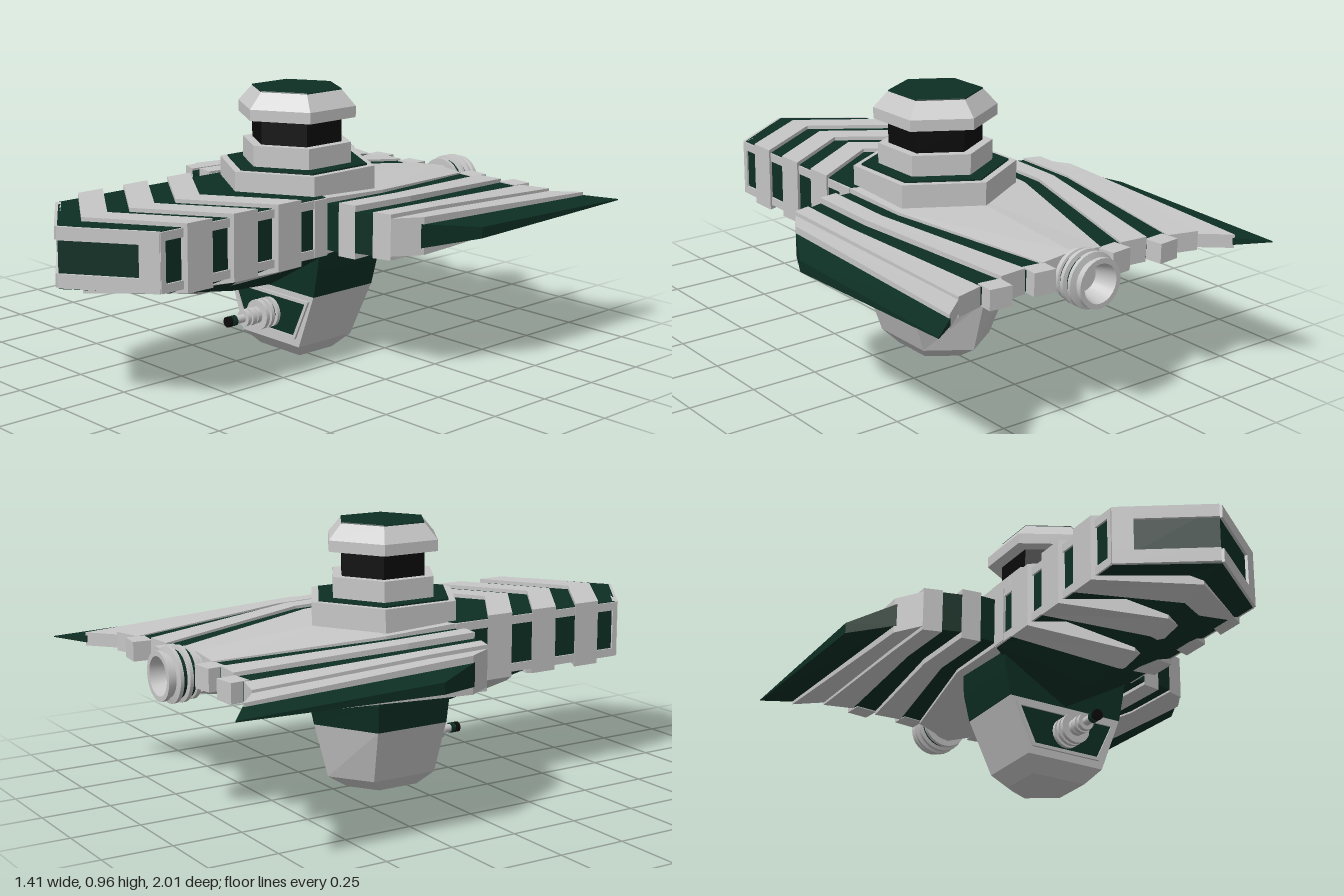
import * as THREE from 'three';
import { toCreasedNormals } from 'three/addons/utils/BufferGeometryUtils.js';

const mat = (name, color) => {
  const m = new THREE.MeshStandardMaterial({ color });
  m.name = name;
  return m;
};

// Closed flat-faced solid through rings of [x, y, z] points
function loft(rings) {
  const tris = [], n = rings[0].length;
  for (let r = 0; r < rings.length - 1; r++) {
    const a = rings[r], b = rings[r + 1];
    for (let i = 0; i < n; i++) {
      const j = (i + 1) % n;
      tris.push([a[i], a[j], b[j]], [a[i], b[j], b[i]]);
    }
  }
  const first = rings[0], last = rings[rings.length - 1];
  for (let i = 1; i < n - 1; i++) {
    tris.push([first[0], first[i + 1], first[i]], [last[0], last[i], last[i + 1]]);
  }
  // Turn the faces outward by the sign of the volume
  const v = (p) => new THREE.Vector3(...p);
  let volume = 0;
  for (const [a, b, c] of tris) volume += v(a).dot(v(b).cross(v(c)));
  if (volume < 0) tris.forEach((t) => t.reverse());
  const g = new THREE.BufferGeometry();
  g.setAttribute('position', new THREE.Float32BufferAttribute(tris.flat(2), 3));
  g.computeVertexNormals();
  return g;
}

export function createModel() {
  const root = new THREE.Group();
  const white = mat('pale grey', 0xc6c6c6);
  const green = mat('dark green', 0x0d2f24);
  const black = mat('black', 0x0b0b0b);

  const add = (name, geo, material, parent = root, x = 0, y = 0, z = 0) => {
    const m = new THREE.Mesh(geo, material);
    m.name = name;
    m.position.set(x, y, z);
    parent.add(m);
    return m;
  };
  const box = (name, w, h, d, material, x, y, z, parent = root) =>
    add(name, new THREE.BoxGeometry(w, h, d), material, parent, x, y, z);

  // Front boom: chevron sections, swept forward at the middle, with a keel below
  const keel = (z) => Math.max(0.25, 0.41 - 0.2 * (1 - z));
  const chevron = (s, w, grow = 0, lead = 0.2) => {
    const c = s + lead, top = 0.62 + grow, bot = 0.415 - grow;
    return [[0, top, c], [-w, top, s], [-w, bot, s], [0, keel(c) - grow, c], [w, bot, s], [w, top, s]];
  };
  add('boomHull', loft([chevron(0.08, 0.28, 0, -0.08), chevron(0.1, 0.28, 0, 0.16),
    chevron(0.8, 0.28)]), green);
  for (const [a, b] of [[0.21, 0.315], [0.405, 0.51], [0.6, 0.705]]) {
    add('boomRib', loft([chevron(a, 0.298, 0.014), chevron(b, 0.298, 0.014)]), white);
  }
  for (const s of [-1, 1]) {
    box('boomRailTop', 0.012, 0.03, 0.72, white, s * 0.281, 0.603, 0.44);
    box('boomRailBottom', 0.012, 0.03, 0.72, white, s * 0.281, 0.43, 0.44);
    box('boomRearPost', 0.014, 0.2, 0.06, white, s * 0.283, 0.518, 0.11);
    box('boomFrontPost', 0.012, 0.2, 0.02, white, s * 0.281, 0.518, 0.795);
    // Frame round the pointed nose panel
    const frame = new THREE.Group();
    frame.name = 'noseFrame';
    frame.position.set(s * 0.14, 0, 0.9);
    frame.rotation.y = s * Math.atan2(0.2, 0.28);
    root.add(frame);
    box('noseFrameTop', 0.344, 0.045, 0.02, white, 0, 0.5975, 0, frame);
    box('noseFrameBottom', 0.344, 0.048, 0.02, white, 0, 0.439, 0, frame);
    box('noseFrameEnd', 0.07, 0.2, 0.02, white, s * 0.137, 0.518, 0, frame);
  }

  // Central body, tapering back to the engine
  const bodyRing = (z, w, top, edgeTop, edgeBot, bot) =>
    [[0, top, z], [-w, edgeTop, z], [-w, edgeBot, z], [0, bot, z], [w, edgeBot, z], [w, edgeTop, z]];
  add('body', loft([
    bodyRing(0.08, 0.285, 0.618, 0.618, 0.42, 0.33),
    bodyRing(-0.2, 0.28, 0.618, 0.605, 0.43, 0.325),
    bodyRing(-0.78, 0.125, 0.572, 0.56, 0.47, 0.425)]), white);

  // Wings: strips between boundaries of [front x, rear x, front z]
  const edges = [[0.27, 0.12, 0.08], [0.345, 0.205, 0.08], [0.415, 0.31, 0.07],
    [0.48, 0.4, 0.05], [0.545, 0.51, 0.03], [0.605, 0.605, -0.07]];
  const strips = [ // colour, front and rear half height, rear z at inner and outer edge
    [green, 0.082, 0.036, -0.79, -0.79], [white, 0.094, 0.044, -0.79, -0.8],
    [green, 0.072, 0.03, -0.8, -0.81], [white, 0.08, 0.034, -0.81, -0.84],
    [white, 0.066, 0.024, -0.84, -0.92]];
  const mid = 0.518;
  for (const s of [-1, 1]) {
    const wing = new THREE.Group();
    wing.name = s > 0 ? 'leftWing' : 'rightWing';
    root.add(wing);
    strips.forEach(([material, hf, hr, za, zb], i) => {
      const [a, b] = [edges[i], edges[i + 1]];
      const ring = (xa, xb, z0, z1, h) => [[s * xa, mid - h, z0], [s * xb, mid - h, z1],
        [s * xb, mid + h, z1], [s * xa, mid + h, z0]];
      add('wingStrip', loft([ring(a[0], b[0], a[2], b[2], hf),
        ring(a[0], b[0], -0.2, -0.2, hf * 0.87 + hr * 0.13),
        ring(a[1], b[1], za, zb, hr)]), material, wing);
    });
    // Sharp outer blade
    const blade = (z0, z1, h0, h1) => [[s * 0.6, mid - h0, z0], [s * 0.705, mid - h1, z1],
      [s * 0.705, mid + h1, z1], [s * 0.6, mid + h0, z0]];
    add('wingBlade', loft([blade(-0.06, -0.25, 0.042, 0.02), blade(-0.92, -1, 0.012, 0.002)]), green, wing);
    // Blocks closing the rear ends of the green strips
    for (const [x, z, h] of [[0.16, -0.805, 0.08], [0.355, -0.825, 0.07]]) {
      const block = box('wingEndBlock', 0.083, h, 0.07, white, s * x, mid, z, wing);
      block.rotation.y = -s * 0.1;
    }
  }

  // Hexagonal tower with points fore and aft: [name, bottom, top, bottom r, top r, colour]
  for (const [name, y0, y1, r0, r1, material] of [
    ['towerBase', 0.6, 0.69, 0.29, 0.29, white],
    ['towerDeck', 0.69, 0.696, 0.262, 0.262, green],
    ['towerCollar', 0.69, 0.77, 0.203, 0.203, white],
    ['towerWindow', 0.77, 0.86, 0.167, 0.167, black],
    ['towerCap', 0.86, 0.9, 0.219, 0.219, white],
    ['towerCapSlope', 0.9, 0.956, 0.219, 0.168, white],
    ['towerRoof', 0.956, 0.96, 0.168, 0.166, green]]) {
    const g = new THREE.CylinderGeometry(r1, r0, y1 - y0, 6).toNonIndexed();
    g.computeVertexNormals();
    add(name, g, material, root, 0, (y0 + y1) / 2, -0.04);
  }

  // Lower pod: flat front, pointed back
  const pod = (y, w, front, side, back) =>
    [[w, y, front], [w, y, side], [0, y, back], [-w, y, side], [-w, y, front]];
  add('podNeck', loft([pod(0.25, 0.226, 0.085, -0.2, -0.325),
    pod(0.35, 0.245, 0.085, -0.21, -0.35), pod(0.425, 0.255, 0.085, -0.2, -0.3)]), green);
  add('pod', loft([pod(0, 0.105, 0.04, -0.12, -0.19), pod(0.05, 0.15, 0.085, -0.17, -0.27),
    pod(0.25, 0.225, 0.085, -0.2, -0.325)]), white);
  const trapezoid = (T, yb, wb, yt, wt) => new T([[-wb, yb], [wb, yb], [wt, yt], [-wt, yt]]
    .map((p) => new THREE.Vector2(...p)));
  const rim = trapezoid(THREE.Shape, 0.078, 0.135, 0.23, 0.205);
  rim.holes.push(trapezoid(THREE.Path, 0.09, 0.127, 0.218, 0.187));
  add('podPanelRim', new THREE.ExtrudeGeometry(rim, { depth: 0.01, bevelEnabled: false }),
    white, root, 0, 0, 0.083);
  add('podPanel', new THREE.ExtrudeGeometry(trapezoid(THREE.Shape, 0.088, 0.13, 0.22, 0.19),
    { depth: 0.004, bevelEnabled: false }), green, root, 0, 0, 0.083);

  // Probe on the pod: stacked discs along z [z0, z1, radius, colour]
  for (const [z0, z1, r, material] of [
    [0.085, 0.1, 0.055, white], [0.1, 0.113, 0.042, green], [0.113, 0.127, 0.055, white],
    [0.127, 0.137, 0.042, green], [0.137, 0.152, 0.055, white], [0.152, 0.17, 0.03, white],
    [0.17, 0.176, 0.022, green], [0.176, 0.195, 0.032, white], [0.195, 0.201, 0.022, green],
    [0.201, 0.217, 0.03, white], [0.217, 0.255, 0.015, white], [0.255, 0.272, 0.019, green],
    [0.272, 0.277, 0.012, white], [0.277, 0.292, 0.019, black]]) {
    add('probeDisc', new THREE.CylinderGeometry(r, r, z1 - z0, 20), material, root,
      0, 0.152, (z0 + z1) / 2).rotation.x = Math.PI / 2;
  }

  // Hollow engine nozzle at the back
  const profile = [[0, -0.05], [0.065, -0.05], [0.065, 0.02], [0.09, 0.02], [0.09, 0.035], [0.075, 0.04],
    [0.075, 0.05], [0.097, 0.055], [0.097, 0.068], [0.08, 0.072], [0.08, 0.085], [0.097, 0.09],
    [0.097, 0.103], [0.075, 0.108], [0.075, 0.12], [0.086, 0.125], [0.086, 0.14],
    [0.068, 0.14], [0.05, 0.06], [0, 0.06]].map((p) => new THREE.Vector2(...p));
  add('engineNozzle', toCreasedNormals(new THREE.LatheGeometry(profile, 28), 0.6), white,
    root, 0, 0.502, -0.78).rotation.x = -Math.PI / 2;
  for (const z of [-0.825, -0.8585]) {
    add('engineBand', new THREE.CylinderGeometry(0.083, 0.083, 0.013, 28, 1, true), green,
      root, 0, 0.502, z).rotation.x = Math.PI / 2;
  }

  return root;
}
